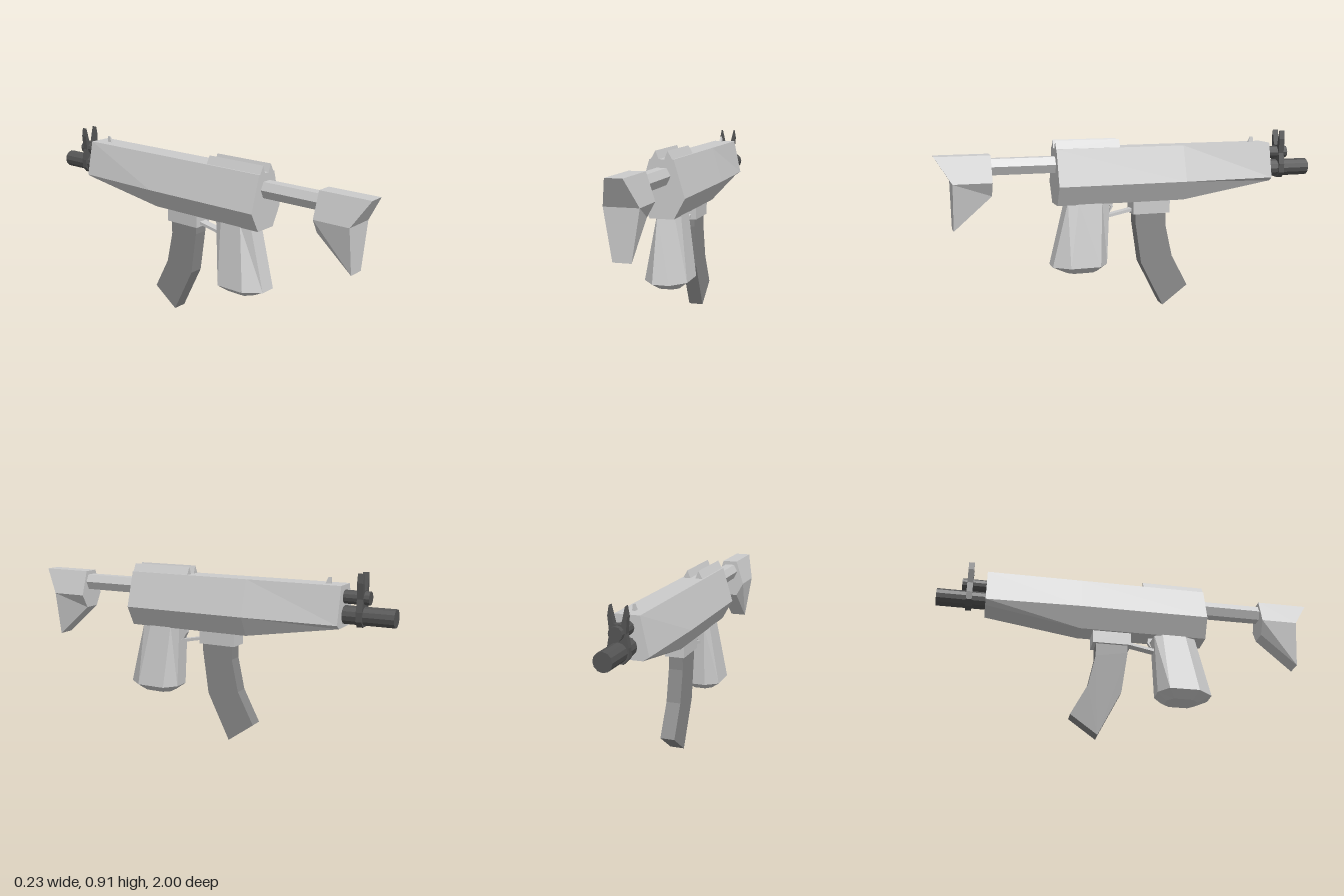
import * as THREE from 'three';

const mat = (color) => new THREE.MeshStandardMaterial({ color, flatShading: true });

// Closed solid through rings of [x, y, z] points, with flat caps on both ends
function loft(rings) {
  const n = rings[0].length, p = rings.flat(), tris = [];
  for (let r = 0; r < rings.length - 1; r++) {
    for (let i = 0; i < n; i++) {
      const a = r * n + i, b = r * n + (i + 1) % n;
      tris.push([a, b, b + n], [a, b + n, a + n]);
    }
  }
  const last = (rings.length - 1) * n;
  for (let i = 1; i < n - 1; i++) tris.push([0, i + 1, i], [last, last + i, last + i + 1]);
  // Turn the faces outward if the rings run the other way
  const v = (i) => new THREE.Vector3(...p[i]);
  const volume = tris.reduce((s, [a, b, c]) => s + v(a).dot(v(b).cross(v(c))), 0);
  if (volume < 0) tris.forEach((t) => t.reverse());
  const g = new THREE.BufferGeometry();
  g.setAttribute('position', new THREE.Float32BufferAttribute(tris.flat().flatMap((i) => p[i]), 3));
  g.computeVertexNormals();
  return g;
}

// Six-sided section at depth z: flat top, widest in the middle, flat bottom
const hexRing = (z, [xt, yt], [xm, ym], [xb, yb]) => [
  [xt, yt, z], [xm, ym, z], [xb, yb, z], [-xb, yb, z], [-xm, ym, z], [-xt, yt, z],
];

// Outline of [z, y] points seen from the side, given a width across x
function sideProfile(points, width) {
  const shape = new THREE.Shape(points.map(([z, y]) => new THREE.Vector2(z, y)));
  const g = new THREE.ExtrudeGeometry(shape, { depth: width, bevelEnabled: false });
  return g.translate(0, 0, -width / 2).rotateY(-Math.PI / 2);
}

export function createModel() {
  const model = new THREE.Group();
  model.name = 'model';
  const grey = mat(0xcccccc), midGrey = mat(0x8a8a8a), dark = mat(0x555555);
  const add = (name, geometry, material = grey) => {
    const mesh = new THREE.Mesh(geometry, material);
    mesh.name = name;
    model.add(mesh);
    return mesh;
  };

  // Receiver, tapering up underneath toward the muzzle
  add('receiver', loft([
    hexRing(0.41, [0.06, 0.85], [0.115, 0.668], [0.06, 0.567]),
    hexRing(-0.26, [0.06, 0.85], [0.115, 0.668], [0.06, 0.567]),
    hexRing(-0.75, [0.06, 0.85], [0.1, 0.668], [0.07, 0.648]),
  ]));

  // Twin ridges of the rear sight
  for (const s of [-1, 1]) {
    const ridge = (z) => [[s * 0.055, 0.845, z], [s * 0.03, 0.89, z], [s * 0.012, 0.845, z]];
    add(s > 0 ? 'leftSightRail' : 'rightSightRail', loft([ridge(0.41), ridge(0.08)]));
  }
  // Small bead near the front of the receiver
  add('sightBead', loft([
    [[-0.008, 0.845, -0.65], [0.008, 0.845, -0.65], [0.008, 0.845, -0.68], [-0.008, 0.845, -0.68]],
    [[-0.003, 0.88, -0.665], [0.003, 0.88, -0.665], [0.003, 0.88, -0.68], [-0.003, 0.88, -0.68]],
  ]));

  // Stock
  add('stockBar', loft([0.74, 0.4].map((z) => hexRing(z, [0.025, 0.81], [0.045, 0.772], [0.025, 0.73]))));
  const stockRing = (x, yFront, zBack, yBack) => [
    [x, yFront, 0.73], [-x, yFront, 0.73], [-x, yBack, zBack], [x, yBack, zBack],
  ];
  add('shoulderStock', loft([
    stockRing(0.04, 0.83, 1, 0.83),
    stockRing(0.082, 0.7, 0.92, 0.7),
    stockRing(0.043, 0.63, 0.92, 0.465),
  ]));

  // Pistol grip: eight-sided, flaring toward a bevelled foot
  const gripRing = (y, xFlat, xSide, z0, z1, z2, z3) => [
    [xFlat, y, z0], [xSide, y, z1], [xSide, y, z2], [xFlat, y, z3],
    [-xFlat, y, z3], [-xSide, y, z2], [-xSide, y, z1], [-xFlat, y, z0],
  ];
  add('grip', loft([
    gripRing(0.58, 0.043, 0.06, 0.352, 0.3, 0.178, 0.135),
    gripRing(0.25, 0.043, 0.108, 0.435, 0.355, 0.2, 0.15),
    gripRing(0.213, 0.03, 0.06, 0.36, 0.33, 0.23, 0.2),
  ]));

  // Trigger and its guard
  add('triggerGuard', sideProfile([[0.15, 0.485], [0.15, 0.5], [0, 0.53], [0, 0.515]], 0.045));
  add('trigger', sideProfile([[0.14, 0.575], [0.11, 0.575], [0.108, 0.54], [0.13, 0.505], [0.118, 0.54]], 0.02));

  // Magazine and the well that holds it
  const well = add('magazineWell', new THREE.BoxGeometry(0.1, 0.085, 0.2));
  well.position.set(0, 0.5425, -0.09);
  add('magazine', sideProfile([
    [-0.005, 0.52], [-0.005, 0.46], [-0.037, 0.238], [-0.157, 0],
    [-0.295, 0.1], [-0.208, 0.265], [-0.172, 0.43], [-0.172, 0.52],
  ], 0.075), midGrey);

  // Barrel and the shorter tube above it
  const tube = (name, r, y, zStart, zEnd) => {
    const g = new THREE.CylinderGeometry(r, r, zStart - zEnd, 12).rotateX(Math.PI / 2);
    add(name, g, dark).position.set(0, y, (zStart + zEnd) / 2);
  };
  tube('barrel', 0.045, 0.708, -0.73, -1);
  tube('upperTube', 0.033, 0.793, -0.73, -0.875);

  // Front sight: a band round both tubes ending in two horns
  const half = [[0.025, 0.657], [0.05, 0.685], [0.05, 0.73], [0.038, 0.79], [0.045, 0.865], [0.037, 0.91], [0.018, 0.83]];
  const outline = [...half, ...half.map(([x, y]) => [-x, y]).reverse()];
  const sight = new THREE.Shape(outline.map(([x, y]) => new THREE.Vector2(x, y)));
  add('frontSight', new THREE.ExtrudeGeometry(sight, { depth: 0.03, bevelEnabled: false }).translate(0, 0, -0.85), dark);

  return model;
}
